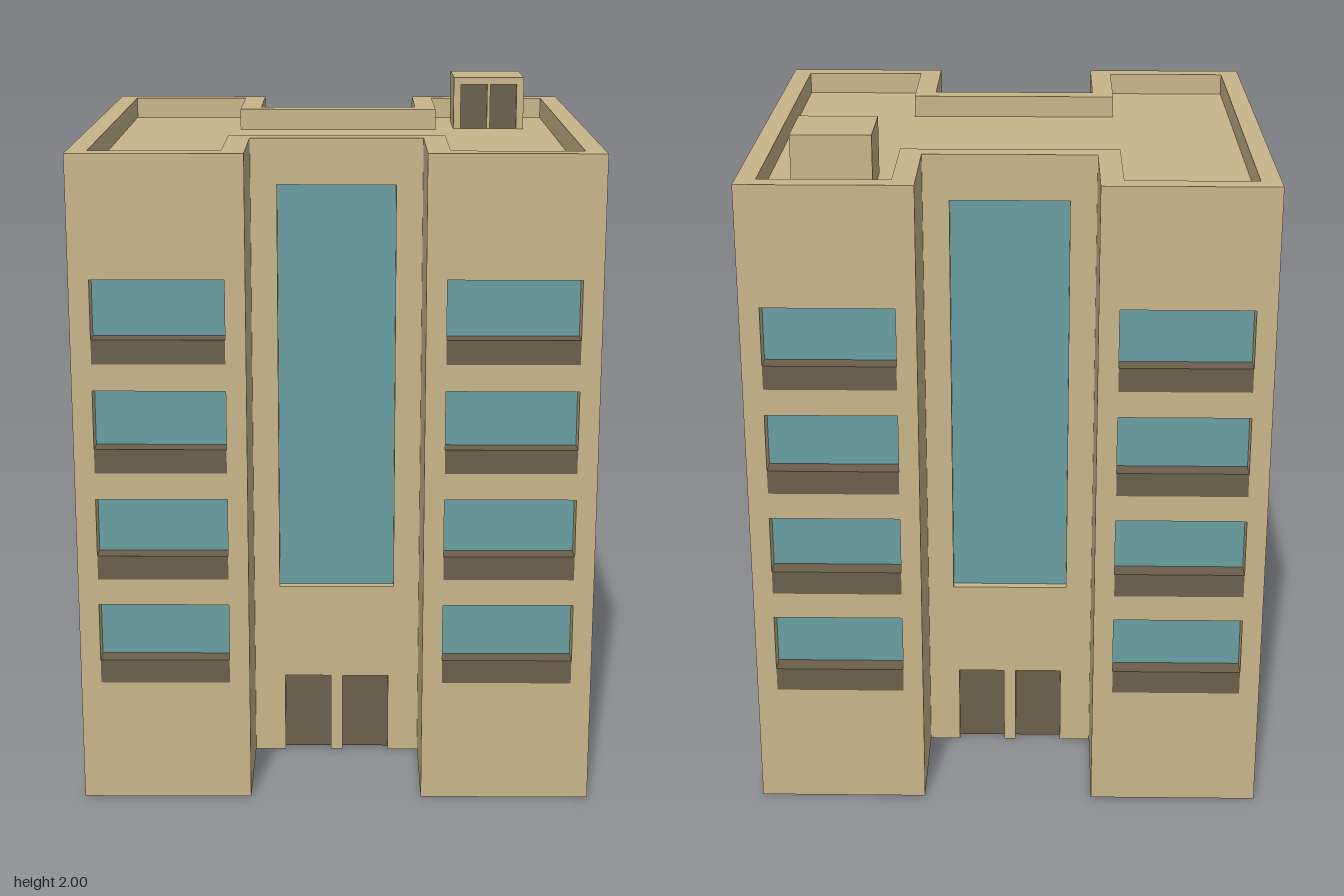
import * as THREE from 'three';

const wallMat = new THREE.MeshStandardMaterial({ color: 0xc8b68a });
const glassMat = new THREE.MeshStandardMaterial({ color: 0x699ea2 });
const darkMat = new THREE.MeshStandardMaterial({ color: 0x6a604b });

const ROOF = 1.835, TOP = 1.9, NOTCH_TOP = 1.59;
const X = 0.74, Z = 0.735, COURT_X = 0.25, COURT_Z = 0.4;
const WING_DEPTH = 0.06, THIN = 0.03;

function add(parent, name, geometry, material, x = 0, y = 0, z = 0) {
  const mesh = new THREE.Mesh(geometry, material);
  mesh.name = name;
  mesh.position.set(x, y, z);
  parent.add(mesh);
  return mesh;
}

// Mirrors one quadrant of a plan outline (from the +x axis round to the +z axis) into all four.
function planPoints(quarter) {
  const half = [...quarter, ...quarter.map(([x, z]) => [-x, z]).reverse()];
  return [...half, ...half.map(([x, z]) => [-x, -z])].map(([x, z]) => new THREE.Vector2(x, z));
}

// Extrudes a plan upwards from y0 to y1.
function extrudePlan(shape, y0, y1) {
  const g = new THREE.ExtrudeGeometry(shape, { depth: y1 - y0, bevelEnabled: false });
  return g.rotateX(-Math.PI / 2).translate(0, y0, 0);
}

// Upright wall panel, bottom-centred, with openings [x0, y0, x1, y1]; doors start at the bottom edge.
function wallPanel(width, height, depth, windows, doors = []) {
  const shape = new THREE.Shape();
  shape.moveTo(-width / 2, 0);
  for (const [x0, , x1, y1] of doors) shape.lineTo(x0, 0).lineTo(x0, y1).lineTo(x1, y1).lineTo(x1, 0);
  shape.lineTo(width / 2, 0).lineTo(width / 2, height).lineTo(-width / 2, height).closePath();
  for (const [x0, y0, x1, y1] of windows) {
    const hole = new THREE.Path();
    hole.moveTo(x0, y0).lineTo(x0, y1).lineTo(x1, y1).lineTo(x1, y0).closePath();
    shape.holes.push(hole);
  }
  return new THREE.ExtrudeGeometry(shape, { depth, bevelEnabled: false });
}

// Thin infill at the back of an opening.
function infill(parent, name, [x0, y0, x1, y1], material) {
  const g = new THREE.BoxGeometry(x1 - x0, y1 - y0, 0.004);
  add(parent, name, g, material, (x0 + x1) / 2, (y0 + y1) / 2, 0.002);
}

// Wing end wall: four recessed windows, each above a flush dark panel.
function wingFace() {
  const group = new THREE.Group();
  group.name = 'wingFace';
  const openings = [0, 1, 2, 3].map(i => [-0.187, 0.36 + i * 0.317, 0.187, 0.6 + i * 0.317]);
  add(group, 'wingWall', wallPanel(X - COURT_X, ROOF, WING_DEPTH, openings), wallMat);
  for (const [x0, y0, x1, y1] of openings) {
    infill(group, 'wingWindow', [x0, y0 + 0.07, x1, y1], glassMat);
    add(group, 'windowApron', new THREE.BoxGeometry(x1 - x0, 0.07, WING_DEPTH), darkMat,
      0, y0 + 0.035, WING_DEPTH / 2);
  }
  return group;
}

// Court wall: tall stairwell window over a pair of doors.
function entranceFace() {
  const group = new THREE.Group();
  group.name = 'entranceFace';
  const tall = [-0.173, 0.535, 0.173, 1.765];
  const doors = [[-0.158, 0, -0.018, 0.245], [0.018, 0, 0.158, 0.245]];
  add(group, 'entranceWall', wallPanel(COURT_X * 2, ROOF, THIN, [tall], doors), wallMat);
  infill(group, 'tallWindow', tall, glassMat);
  doors.forEach(d => infill(group, 'entranceDoor', d, darkMat));
  return group;
}

// Back wall of the side niche: a column of five windows.
function nicheFace() {
  const group = new THREE.Group();
  group.name = 'nicheFace';
  const openings = [0, 1, 2, 3, 4].map(i => [-0.178, 0.035 + i * 0.318, 0.178, 0.287 + i * 0.318]);
  add(group, 'nicheWall', wallPanel(0.45, NOTCH_TOP, THIN, openings), wallMat);
  openings.forEach(o => infill(group, 'nicheWindow', o, glassMat));
  return group;
}

// Small rooftop hut with a pair of doors.
function roofHut() {
  const group = new THREE.Group();
  group.name = 'roofHut';
  const w = 0.226, h = 2 - ROOF, depth = 0.225, skin = 0.015;
  add(group, 'hutBody', new THREE.BoxGeometry(w, h, depth - skin), wallMat, 0, h / 2, -(depth - skin) / 2);
  const doors = [[-0.09, 0, -0.005, h - 0.022], [0.005, 0, 0.09, h - 0.022]];
  add(group, 'hutFront', wallPanel(w, h, skin, [], doors), wallMat);
  doors.forEach(d => infill(group, 'hutDoor', d, darkMat));
  group.position.set(0.487, ROOF, -0.36 - skin);
  return group;
}

export function createModel() {
  const model = new THREE.Group();
  model.name = 'apartmentBlock';

  // Solid core, with side niches up to NOTCH_TOP and a plain H plan above
  const zWing = Z - WING_DEPTH, zCourt = COURT_Z - THIN, xNiche = 0.55;
  const wing = [[X, zWing], [COURT_X, zWing], [COURT_X, zCourt]];
  const lower = planPoints([[xNiche, 0.225], [X, 0.225], ...wing]);
  add(model, 'lowerCore', extrudePlan(new THREE.Shape(lower), 0, NOTCH_TOP), wallMat);
  add(model, 'upperCore', extrudePlan(new THREE.Shape(planPoints(wing)), NOTCH_TOP, ROOF), wallMat);

  // Parapet around the roof
  const rim = new THREE.Shape(planPoints([[X, Z], [COURT_X, Z], [COURT_X, COURT_Z]]));
  rim.holes.push(new THREE.Path(planPoints([[0.683, 0.675], [0.315, 0.675], [0.315, 0.338]])));
  add(model, 'parapet', extrudePlan(rim, ROOF, TOP), wallMat);

  // Matching fronts and backs, and matching sides
  for (const turn of [0, Math.PI]) {
    const facade = new THREE.Group();
    facade.name = turn ? 'backFacade' : 'frontFacade';
    for (const side of [-1, 1]) {
      const face = wingFace();
      face.position.set(side * (X + COURT_X) / 2, 0, zWing);
      facade.add(face);
    }
    const entrance = entranceFace();
    entrance.position.z = zCourt;
    facade.add(entrance);
    facade.rotation.y = turn;
    model.add(facade);

    const niche = nicheFace();
    niche.rotation.y = turn + Math.PI / 2;
    niche.position.x = turn ? -xNiche : xNiche;
    model.add(niche);
  }

  model.add(roofHut());
  return model;
}
